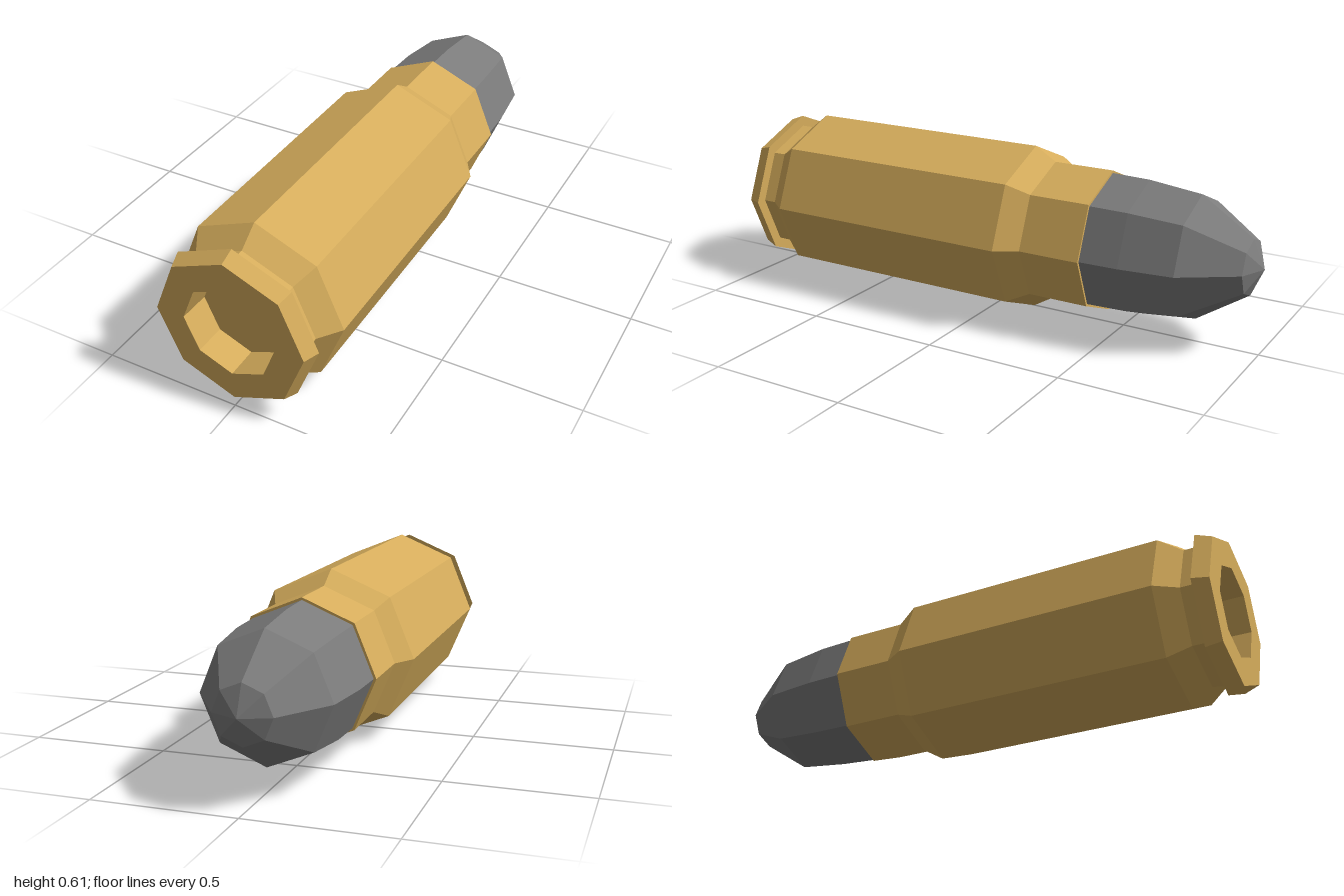
import * as THREE from 'three';

const SIDES = 8;
const AXIS_HEIGHT = 0.307;

// Faceted octagonal turning along z; profile is [z, radius] from back to front
function turned(name, profile, material) {
  const points = profile.map(([z, r]) => new THREE.Vector2(r, z));
  const geometry = new THREE.LatheGeometry(points, SIDES).toNonIndexed();
  geometry.rotateX(Math.PI / 2);
  geometry.computeVertexNormals();
  const mesh = new THREE.Mesh(geometry, material);
  mesh.name = name;
  mesh.position.y = AXIS_HEIGHT;
  return mesh;
}

export function createModel() {
  const brass = new THREE.MeshStandardMaterial({ color: 0xd6ad5c });
  brass.name = 'brass';
  const lead = new THREE.MeshStandardMaterial({ color: 0x7c7c7c });
  lead.name = 'lead grey';

  const group = new THREE.Group();
  group.name = 'cartridge';

  // Pointed projectile seated in the case mouth
  group.add(turned('projectile', [
    [-1, 0], [-0.957, 0.1], [-0.77, 0.224], [-0.58, 0.246], [-0.44, 0.25],
  ], lead));

  // Case: mouth, neck, shoulder, body, taper to extractor groove
  group.add(turned('case', [
    [-0.44, 0.248], [-0.44, 0.259], [-0.215, 0.259], [-0.135, 0.307],
    [0.82, 0.307], [0.895, 0.25], [0.945, 0.25],
  ], brass));

  // Flared rim with the recessed primer pocket
  group.add(turned('rim', [
    [0.945, 0.25], [0.945, 0.291], [1, 0.27], [1, 0.168], [0.89, 0.166], [0.89, 0],
  ], brass));

  return group;
}
